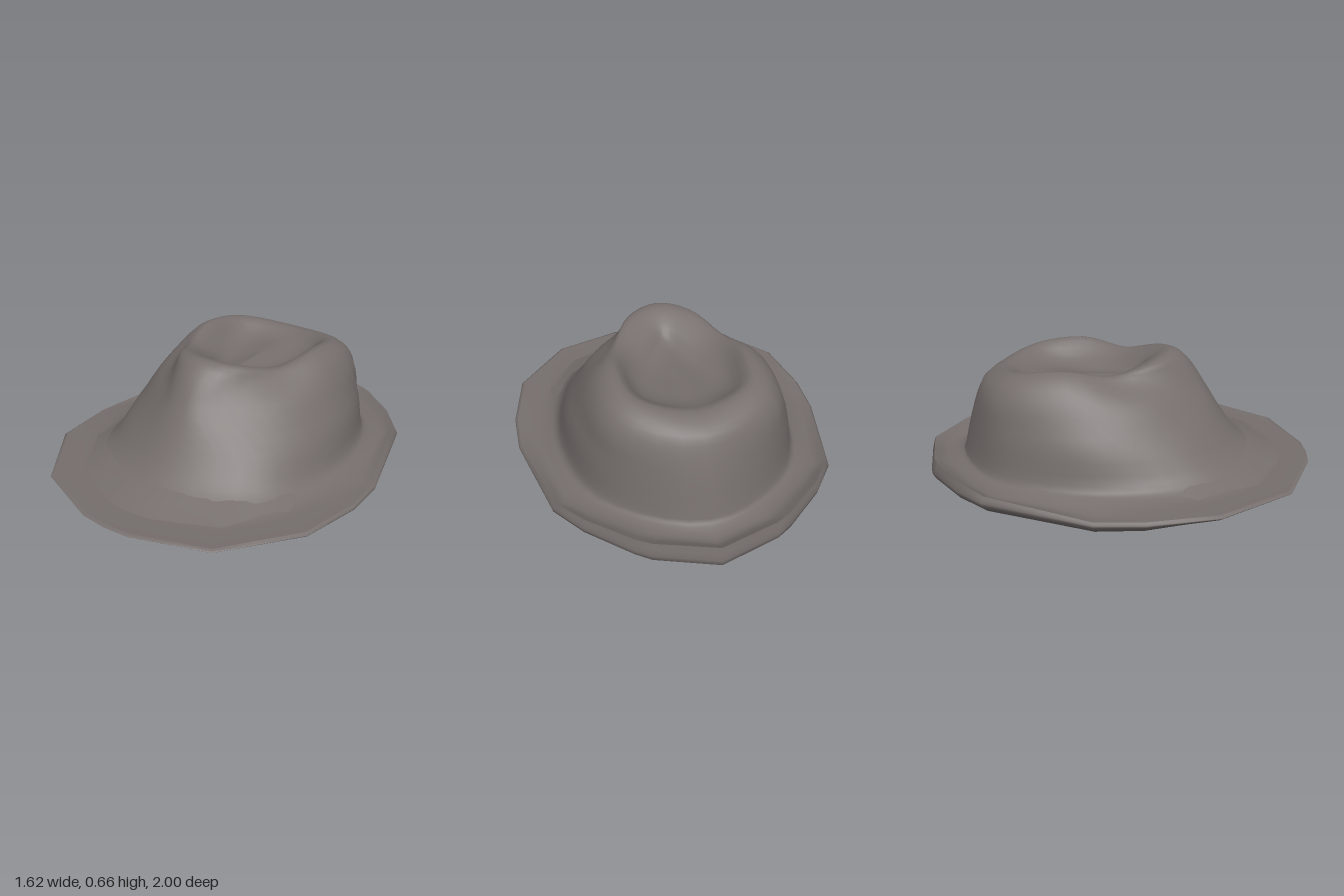
import * as THREE from 'three';
import { mergeVertices } from 'three/addons/utils/BufferGeometryUtils.js';

const COLS = 40; // columns around the hat, counted from the front over +x to the back

// Smooth closed ring through half-ring points (front to back), mirrored in x
function smoothRing(half) {
  const pts = half.map((p) => new THREE.Vector3(...p));
  for (let i = half.length - 2; i > 0; i--) pts.push(new THREE.Vector3(-half[i][0], half[i][1], half[i][2]));
  const curve = new THREE.CatmullRomCurve3(pts, true, 'catmullrom', 0.5);
  return Array.from({ length: COLS }, (_, i) => curve.getPoint(i / COLS));
}

// Angular brim outline, front to back
const outline = [[0, 0.99], [0.13, 0.98], [0.49, 0.85], [0.75, 0.52], [0.81, 0.2], [0.805, -0.03],
  [0.68, -0.55], [0.56, -0.7], [0.36, -0.87], [0.29, -0.91], [0, -1]];

// Straight-sided ring following the outline, with one height per corner
function brimRing(scale, heights) {
  return Array.from({ length: COLS }, (_, i) => {
    const u = Math.min(i, COLS - i) / 2;
    const k = Math.min(Math.floor(u), 9);
    const mix = (a, b) => THREE.MathUtils.lerp(a, b, u - k);
    const side = i > COLS / 2 ? -1 : 1;
    return new THREE.Vector3(
      side * scale * mix(outline[k][0], outline[k + 1][0]),
      mix(heights[k], heights[k + 1]),
      scale * mix(outline[k][1], outline[k + 1][1]));
  });
}

// Surface through a list of rings, rounded along every column
function loft(rings, steps) {
  const columns = rings[0].map((_, c) =>
    new THREE.CatmullRomCurve3(rings.map((r) => r[c]), false, 'catmullrom', 0.5).getPoints(steps));
  const position = [];
  const index = [];
  for (let r = 0; r <= steps; r++) {
    for (let c = 0; c < COLS; c++) {
      position.push(...columns[c][r].toArray());
      if (r === steps) continue;
      const a = r * COLS + c, b = r * COLS + (c + 1) % COLS;
      index.push(a, b, a + COLS, b, b + COLS, a + COLS);
    }
  }
  let geometry = new THREE.BufferGeometry();
  geometry.setAttribute('position', new THREE.Float32BufferAttribute(position, 3));
  geometry.setIndex(index);
  geometry = mergeVertices(geometry, 1e-4);
  geometry.computeVertexNormals();
  return geometry;
}

export function createModel() {
  const felt = new THREE.MeshStandardMaterial({ color: 0x756e6c, side: THREE.DoubleSide });
  felt.name = 'greyFelt';
  const hat = new THREE.Group();
  hat.name = 'hat';
  const add = (name, geometry) => {
    const mesh = new THREE.Mesh(geometry, felt);
    mesh.name = name;
    hat.add(mesh);
  };

  // Brim rings, from the upper lip round to the underside
  const lip = brimRing(0.985, [0.122, 0.122, 0.122, 0.122, 0.105, 0.09, 0.13, 0.138, 0.135, 0.133, 0.13]);
  const edge = brimRing(1, [0.115, 0.115, 0.113, 0.108, 0.085, 0.07, 0.085, 0.075, 0.06, 0.05, 0.04]);
  const under = brimRing(0.91, [0.102, 0.102, 0.1, 0.085, 0.045, 0.025, 0.035, 0.03, 0.012, 0.007, 0]);
  const floor = brimRing(0.91, [0.12, 0.12, 0.12, 0.12, 0.105, 0.09, 0.1, 0.105, 0.105, 0.1, 0.09]);

  // Crown rings, from the flared base up the wall
  const crown = [
    [[0, 0.125, 0.78], [0.5, 0.125, 0.56], [0.65, 0.115, -0.03], [0.48, 0.11, -0.56], [0, 0.11, -0.82]],
    [[0, 0.195, 0.66], [0.45, 0.18, 0.46], [0.595, 0.155, -0.05], [0.45, 0.15, -0.55], [0, 0.15, -0.8]],
    [[0, 0.3, 0.568], [0.38, 0.31, 0.37], [0.55, 0.32, -0.08], [0.425, 0.32, -0.54], [0, 0.3, -0.76]],
    [[0, 0.46, 0.463], [0.14, 0.46, 0.41], [0.38, 0.46, 0.17], [0.485, 0.46, -0.18], [0.39, 0.46, -0.545], [0, 0.45, -0.71]],
    [[0, 0.6, 0.37], [0.15, 0.58, 0.3], [0.31, 0.55, 0.06], [0.405, 0.58, -0.2], [0.345, 0.555, -0.51], [0, 0.515, -0.665]],
  ].map(smoothRing);
  // Teardrop ridge with its raised front, and the dent inside it
  const top = [
    [[0, 0.66, 0.275], [0.17, 0.635, 0.2], [0.265, 0.588, 0.01], [0.315, 0.622, -0.22], [0.265, 0.592, -0.46], [0, 0.555, -0.57]],
    [[0, 0.6, 0.16], [0.09, 0.58, 0.1], [0.175, 0.54, -0.04], [0.235, 0.535, -0.24], [0.19, 0.535, -0.41], [0, 0.535, -0.49]],
    [[0, 0.52, 0.06], [0.05, 0.51, 0.01], [0.11, 0.495, -0.11], [0.15, 0.5, -0.27], [0.11, 0.51, -0.37], [0, 0.52, -0.41]],
    Array(5).fill([0, 0.515, -0.27]),
  ].map(smoothRing);
  add('crownAndBrimTop', loft([lip, floor, ...crown, ...top], 33));

  // Underside from the head opening, where it meets the crown, out to the lip
  const opening = smoothRing([[0, 0.185, 0.665], [0.445, 0.17, 0.46], [0.595, 0.135, -0.045], [0.455, 0.115, -0.545], [0, 0.105, -0.8]]);
  add('brimUnderside', loft([opening, under, edge, lip], 9));
  return hat;
}
